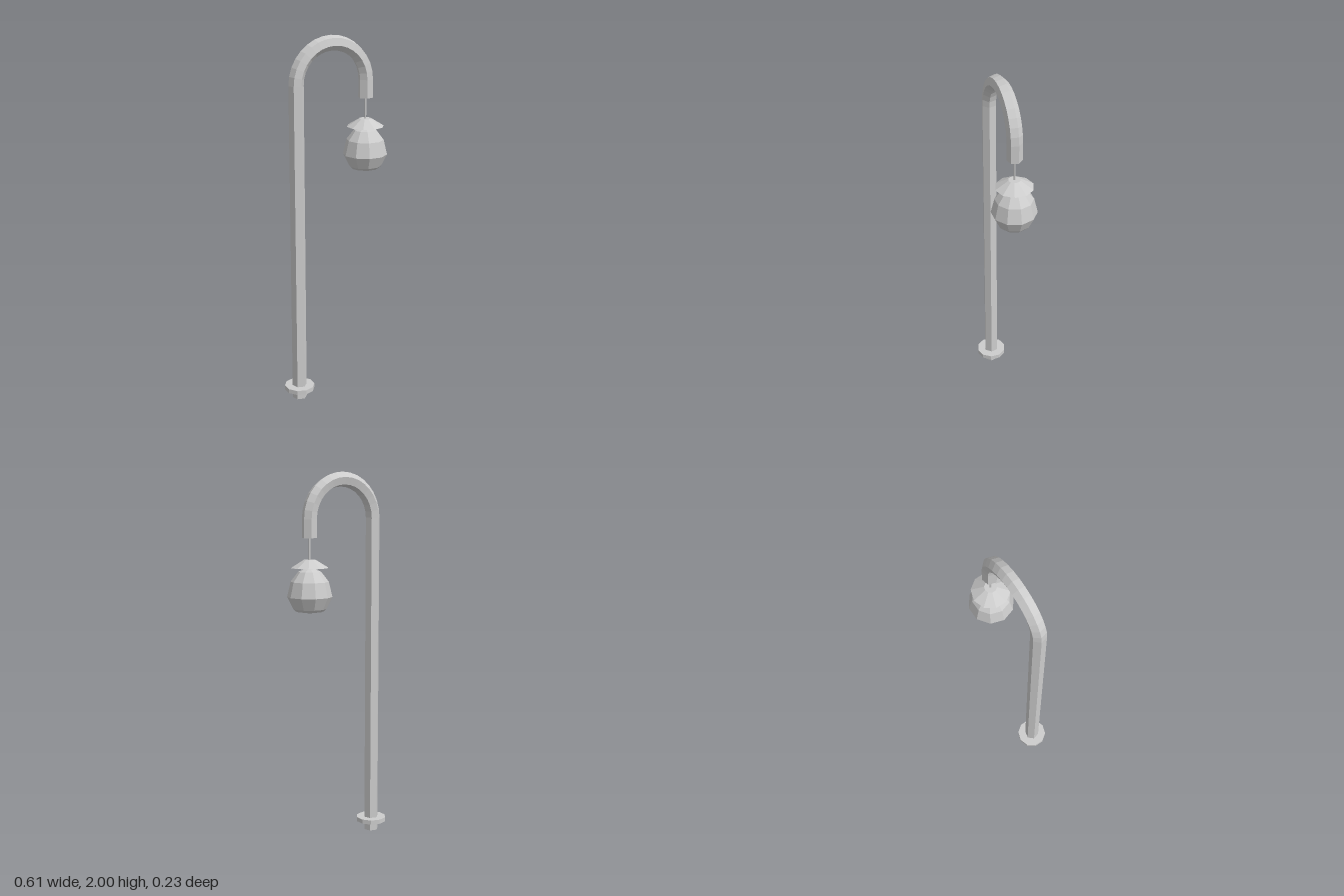
import * as THREE from 'three';

const POLE_X = -0.225, LAMP_X = 0.183, ARC_Y = 1.757;

// Hexagonal pipe swept along rows of { x, y, nx, ny }; n is the outward side of the bend
function hexPipe(rows, radius, twist) {
  const pos = [], index = [], sides = 6;
  for (const r of rows) {
    for (let i = 0; i < sides; i++) {
      const a = twist + (i / sides) * Math.PI * 2;
      const out = Math.cos(a) * radius;
      pos.push(r.x + r.nx * out, r.y + r.ny * out, Math.sin(a) * radius);
    }
  }
  const last = (rows.length - 1) * sides;
  for (let j = 0; j < last; j += sides) {
    for (let i = 0; i < sides; i++) {
      const k = (i + 1) % sides;
      const a = j + i, b = j + k, c = a + sides, d = b + sides;
      index.push(a, b, c, b, d, c);
    }
  }
  // end caps
  for (let i = 1; i < sides - 1; i++) {
    index.push(0, i + 1, i, last, last + i, last + i + 1);
  }
  const g = new THREE.BufferGeometry();
  g.setAttribute('position', new THREE.Float32BufferAttribute(pos, 3));
  g.setIndex(index);
  const flat = g.toNonIndexed();
  flat.computeVertexNormals();
  return flat;
}

export function createModel() {
  const group = new THREE.Group();
  group.name = 'streetLamp';
  const grey = new THREE.MeshStandardMaterial({ color: 0xcccccc, flatShading: true });
  grey.name = 'light grey';

  const add = (name, geometry, x = 0, y = 0) => {
    const mesh = new THREE.Mesh(geometry, grey);
    mesh.name = name;
    mesh.position.set(x, y, 0);
    group.add(mesh);
  };

  // upright, half-circle crook and short drop
  const cx = (POLE_X + LAMP_X) / 2, R = (LAMP_X - POLE_X) / 2, steps = 16;
  const rows = [{ x: POLE_X, y: 0, nx: -1, ny: 0 }];
  for (let i = 0; i <= steps; i++) {
    const a = Math.PI * (1 - i / steps);
    const nx = Math.cos(a), ny = Math.sin(a);
    rows.push({ x: cx + nx * R, y: ARC_Y + ny * R, nx, ny });
  }
  rows.push({ x: LAMP_X, y: 1.66, nx: 1, ny: 0 });
  add('pole', hexPipe(rows, 0.04, -0.24));

  // collar near the foot
  add('baseCollar', new THREE.CylinderGeometry(0.083, 0.083, 0.024, 10), POLE_X, 0.062);

  // hanging cord and shade
  add('cord', new THREE.CylinderGeometry(0.005, 0.005, 0.18, 6), LAMP_X, 1.58);
  add('shade', new THREE.CylinderGeometry(0.032, 0.1, 0.042, 10), LAMP_X, 1.526);

  // faceted lantern globe
  const profile = [[0, 1.265], [0.075, 1.277], [0.088, 1.29], [0.119, 1.353],
    [0.1, 1.433], [0.06, 1.485], [0.03, 1.497], [0, 1.499]]
    .map(([r, y]) => new THREE.Vector2(r, y));
  add('globe', new THREE.LatheGeometry(profile, 10, Math.PI / 2), LAMP_X);

  return group;
}
